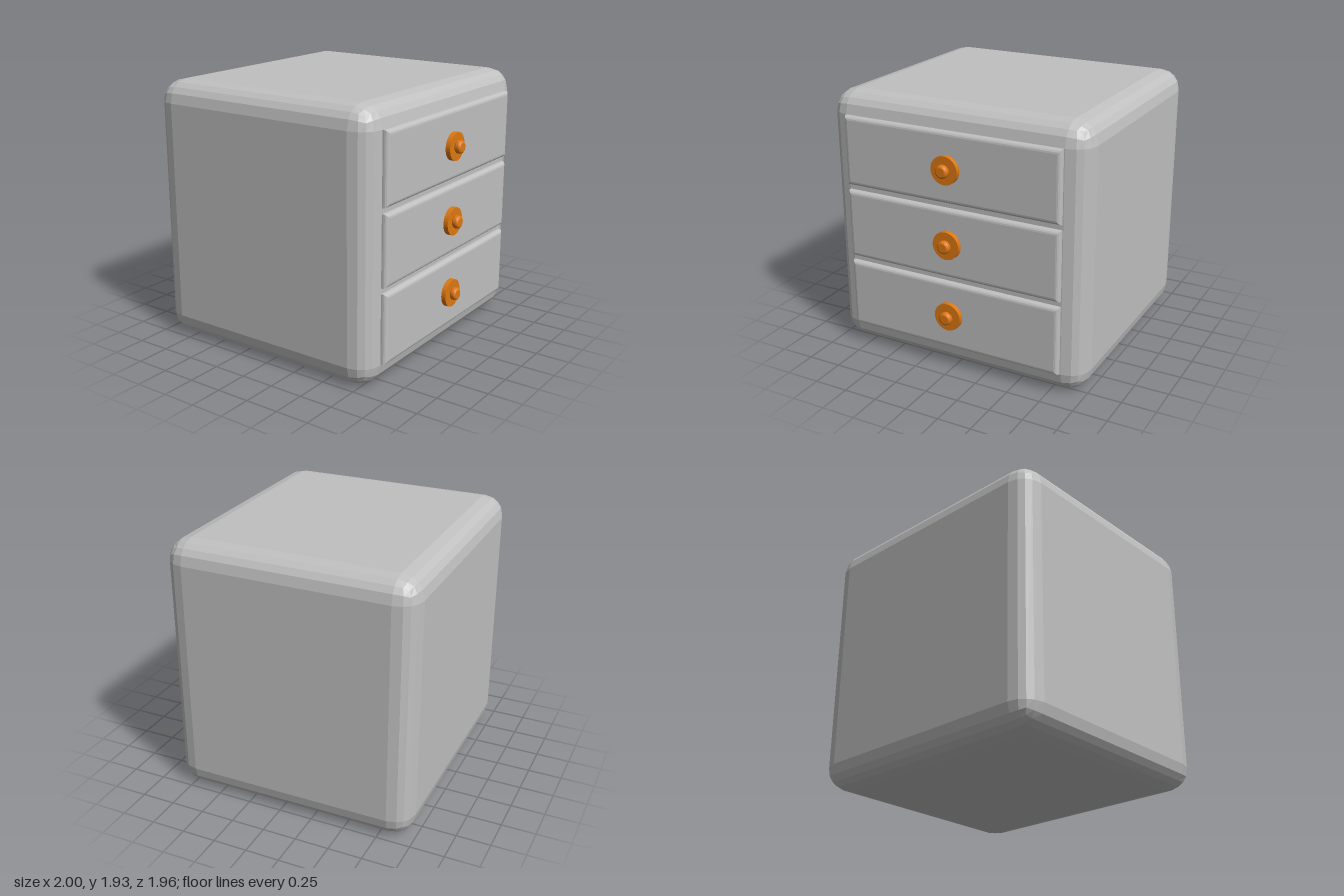
import * as THREE from 'three';
import { RoundedBoxGeometry } from 'three/addons/geometries/RoundedBoxGeometry.js';

// Facet every face of a geometry
function faceted(geometry) {
  const g = geometry.index ? geometry.toNonIndexed() : geometry;
  g.computeVertexNormals();
  return g;
}

export function createModel() {
  const grey = new THREE.MeshStandardMaterial({ color: 0xc0c0c0 });
  grey.name = 'grey';
  const orange = new THREE.MeshStandardMaterial({ color: 0xde7812 });
  orange.name = 'orange';

  const model = new THREE.Group();
  model.name = 'drawerCabinet';

  // Rounded cabinet body
  const height = 1.935, back = -0.98, front = 0.86;
  const body = new THREE.Mesh(
    faceted(new RoundedBoxGeometry(2, height, front - back, 2, 0.16)), grey);
  body.name = 'cabinetBody';
  body.position.set(0, height / 2, (front + back) / 2);
  model.add(body);

  // Drawer panel: square outline with rounded, mitred front edges
  const w = 1.672, h = 0.51, bevel = 0.03;
  const outline = new THREE.Shape([
    new THREE.Vector2(-w / 2, -h / 2), new THREE.Vector2(w / 2, -h / 2),
    new THREE.Vector2(w / 2, h / 2), new THREE.Vector2(-w / 2, h / 2),
  ]);
  const panelGeometry = new THREE.ExtrudeGeometry(outline, {
    depth: 0.04, bevelThickness: bevel, bevelSize: bevel,
    bevelOffset: -bevel, bevelSegments: 4,
  });
  panelGeometry.translate(0, 0, -0.04 - bevel);

  // Knob: flat disc with a small rounded button, turned to face forward
  const profile = [
    [0, -0.01], [0.102, -0.01], [0.102, 0.035], [0.04, 0.035], [0.047, 0.043],
    [0.047, 0.064], [0.044, 0.072], [0.037, 0.078], [0.03, 0.08], [0, 0.08],
  ].map(([x, y]) => new THREE.Vector2(x, y));
  const knobGeometry = faceted(new THREE.LatheGeometry(profile, 32));
  knobGeometry.rotateX(Math.PI / 2);

  // Three drawers, bottom to top
  for (const [i, y] of [0.42, 0.97, 1.52].entries()) {
    const drawer = new THREE.Group();
    drawer.name = `drawer${i + 1}`;
    const panel = new THREE.Mesh(panelGeometry, grey);
    panel.name = 'drawerPanel';
    const knob = new THREE.Mesh(knobGeometry, orange);
    knob.name = 'drawerKnob';
    knob.position.set(-0.006, [0.005, 0, -0.005][i], 0);
    drawer.add(panel, knob);
    drawer.position.set(-0.002, y, 0.9);
    model.add(drawer);
  }
  return model;
}
